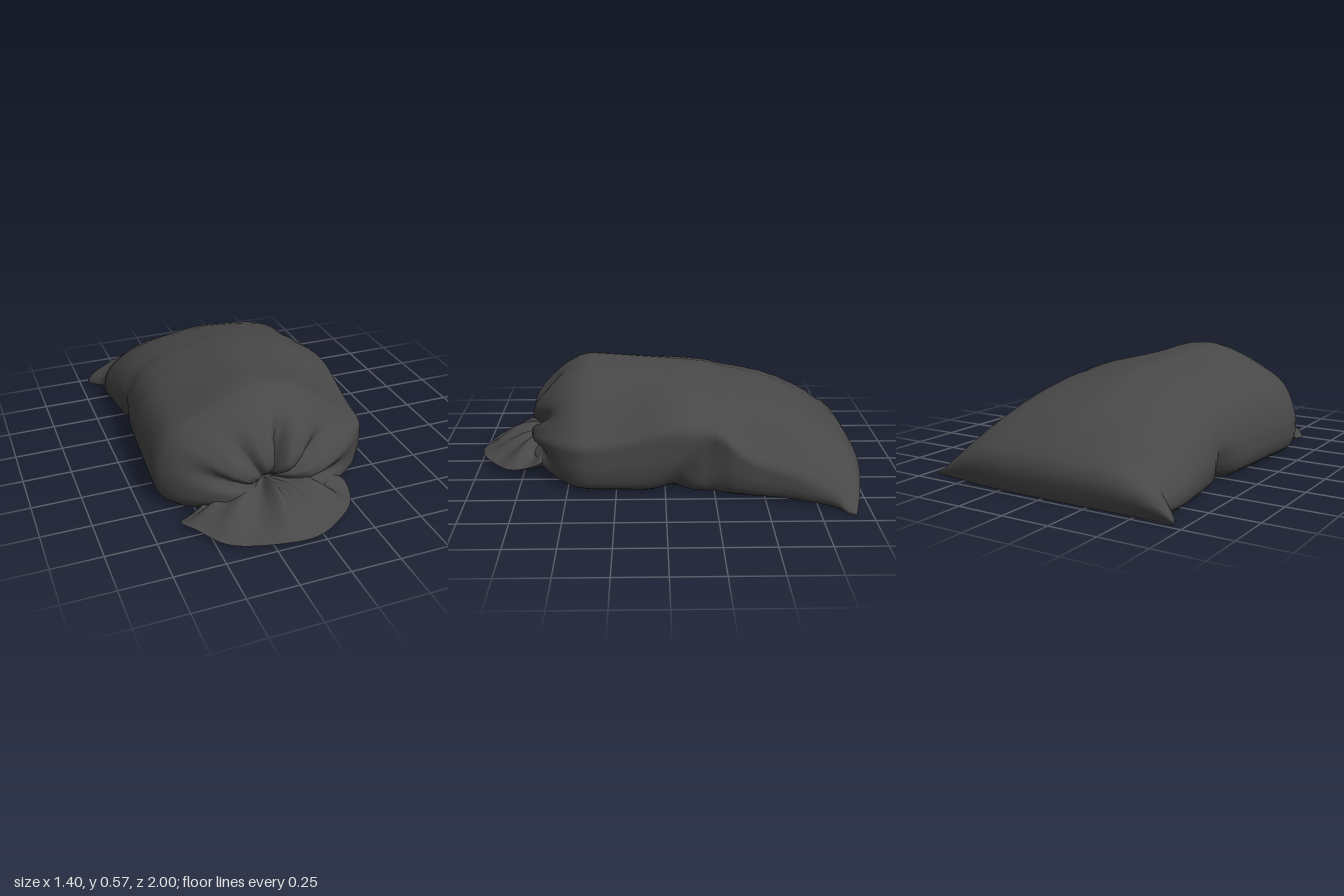
import * as THREE from 'three';

// Half-outlines of the sack: a full dome and a flat pillow edge, as (u across, v height)
const DOME = [[-.88, 0], [-.97, .08], [-1, .3], [-.87, .64], [-.61, .82], [-.14, 1], [.16, .99],
  [.54, .92], [.85, .77], [.99, .64], [1, .33], [.95, .08], [.86, 0]];
const PILLOW = [[-1, 0], [-1, .07], [-.97, .26], [-.87, .5], [-.6, .82], [-.14, 1], [.16, 1],
  [.53, .92], [.82, .6], [.94, .26], [1, .08], [1, .03], [1, 0]];

// Stations from back to front: z, left x, right x, height, pillow amount
const STATIONS = [
  [-1, -.7, .7, .15, 1], [-.965, -.69, .69, .2, 1], [-.92, -.65, .67, .245, .9],
  [-.88, -.61, .65, .275, .75], [-.82, -.632, .625, .32, .6], [-.75, -.645, .605, .36, .45],
  [-.65, -.642, .572, .412, .3], [-.55, -.635, .55, .45, .2], [-.45, -.63, .535, .475, .12],
  [-.4, -.625, .525, .487, .08], [-.35, -.612, .515, .498, .05], [-.3, -.618, .505, .508, 0],
  [-.25, -.626, .475, .519, 0], [-.2, -.63, .478, .526, 0], [-.14, -.632, .482, .531, 0],
  [-.08, -.638, .48, .536, 0], [-.03, -.642, .478, .539, 0], [.02, -.645, .474, .542, 0],
  [.07, -.648, .47, .545, 0], [.12, -.65, .466, .548, 0], [.2, -.655, .462, .553, 0],
  [.32, -.662, .457, .56, 0], [.4, -.665, .452, .564, 0],
];
// Front gather: z and scale around the neck
const GATHER = [[.46, .97], [.53, .88], [.58, .79], [.62, .7], [.66, .6], [.7, .46], [.715, .34],
  [.7, .24], [.66, .15], [.61, .08], [.57, .04]];
const NECK = new THREE.Vector3(-.15, .13, .58);

const { lerp, smoothstep, clamp } = THREE.MathUtils;
const bump = (x, c, w) => Math.exp(-(((x - c) / w) ** 2));

// Skin a grid of point rows
function loft(rows, name, material) {
  const n = rows[0].length, index = [];
  for (let j = 0; j < rows.length - 1; j++) {
    for (let i = 0; i < n - 1; i++) {
      const p = j * n + i, q = p + n;
      index.push(p, q, p + 1, p + 1, q, q + 1);
    }
  }
  const geometry = new THREE.BufferGeometry().setFromPoints(rows.flat());
  geometry.setIndex(index);
  geometry.computeVertexNormals();
  const mesh = new THREE.Mesh(geometry, material);
  mesh.name = name;
  return mesh;
}

// One cross-section over the top of the sack
function section([z, xl, xr, h, flat], count) {
  const points = DOME.map(([u, v], k) =>
    new THREE.Vector3(lerp(u, PILLOW[k][0], flat), lerp(v, PILLOW[k][1], flat), 0));
  return new THREE.CatmullRomCurve3(points, false, 'centripetal').getPoints(count).map((p) => {
    const u = clamp(p.x, -1, 1);
    // The +x shoulder slopes away at the front and behind the side fold; the -x one is fuller
    const slope = 1 - .3 * smoothstep(u, .15, 1) * smoothstep(z, -.1, .4)
      - .25 * smoothstep(u, .6, 1) * smoothstep(-z, .22, .45)
      + .06 * smoothstep(-u, .2, .7) * smoothstep(-z, -.35, .1);
    const y = Math.max(0, p.y * h * slope);
    let x = lerp(xl, xr, (u + 1) / 2);
    // Side folds, deepest near the ground
    if (u > .5) x -= .08 * Math.max(0, 1 - y / .32) * bump(z, -.04 - .75 * y, .08);
    if (u < -.5) x += .08 * Math.max(0, 1 - y / .2) * bump(z, -.32 - .15 * y, .08);
    // The +x rear corner sits further forward
    const back = smoothstep(-z, .8, 1);
    return new THREE.Vector3(x, y, z + back * (.08 * Math.max(0, u) ** 3 + .02 * Math.max(0, -u) ** 3));
  });
}

// Shrink the last full section toward the neck, with radial pleats
function gathered(full, [z, s]) {
  const pleatWeight = smoothstep(1 - s, .12, .6);
  return full.map((p) => {
    const a = Math.atan2(p.y - NECK.y, p.x - NECK.x);
    const groove = Math.pow(.5 + .5 * Math.cos(a * 9 + .8 * Math.sin(2 * a)), 3)
      + 1.3 * bump(a, 1.35, .09) + .5 * bump(a, .6, .1);
    const k = s * (1 - .13 * pleatWeight * groove);
    return new THREE.Vector3(
      NECK.x + (p.x - NECK.x) * k,
      NECK.y + (p.y - NECK.y) * k,
      z - .045 * pleatWeight * groove * Math.min(1, s * 3));
  });
}

// Flat underside row between the lower edges, with a curved fold joining the side folds
function underside(row) {
  const left = row[0], right = row[row.length - 1];
  return Array.from({ length: 25 }, (_, i) => {
    const p = right.clone().lerp(left, i / 24), u = 1 - i / 12;
    p.y += .035 * (1 - u ** 6) * bump(p.z, .06 - .12 * u * u + .1 * u, .06);
    return p;
  });
}

// Loose ruffle beyond the tie: upper and lower sheets sharing a rim
function ruffleRows(upper) {
  const rim = new THREE.CatmullRomCurve3([[-.5, .02, .61], [-.605, .02, .65], [-.56, .03, .75], [-.45, .02, .9],
    [-.2, .025, .99], [-.05, .03, 1], [.1, .03, .92], [.22, .04, .8], [.235, .08, .66], [.12, .1, .62]]
    .map((p) => new THREE.Vector3(...p)), false, 'centripetal').getPoints(72);
  const rows = [];
  for (let j = 0; j <= 8; j++) {
    const t = j / 8;
    rows.push(rim.map((r, i) => {
      const a = i / 72, middle = Math.sin(a * Math.PI);
      const x = lerp(NECK.x + (a - .5) * .1, r.x, t), z = lerp(NECK.z, r.z, t);
      const wave = Math.sin(a * 44) * .6 + Math.sin(a * 27 + 1) * .5;
      const ripple = wave * Math.sin(Math.PI * t);
      if (!upper) {
        const y = lerp(lerp(.09, .012, Math.min(1, t * 2.5)), r.y, t ** 4);
        return new THREE.Vector3(x, Math.max(.003, y + .008 * ripple), z);
      }
      const swell = .06 * Math.sin(Math.PI * Math.min(1, t * 1.1)) * (.35 + .65 * middle);
      return new THREE.Vector3(x, Math.max(.006, lerp(.125, r.y, t) + swell + .028 * ripple), z);
    }));
  }
  return rows;
}

export function createModel() {
  const cloth = new THREE.MeshStandardMaterial({ color: 0x484848, side: THREE.DoubleSide });
  cloth.name = 'dark grey plastic';
  const group = new THREE.Group();
  group.name = 'tiedSack';

  // Filled body with the puckered front
  const rows = STATIONS.map((s) => section(s, 72));
  const full = rows[rows.length - 1];
  GATHER.forEach((g) => rows.push(gathered(full, g)));

  // Rear hem rolling under to the ground
  const [hem, roll] = [[0, .03], [.5, .006]].map(([height, inset]) => rows[0].map((p) =>
    new THREE.Vector3(p.x, p.y * height, p.z + inset * Math.min(1, p.y / .1))));
  group.add(loft([hem, roll, ...rows], 'sackBody', cloth));

  // Underside, closed against the rear hem
  const hemEdge = hem.filter((_, i) => i % 3 === 0).reverse();
  group.add(loft([hemEdge, ...rows.map(underside)], 'sackBase', cloth));

  // Ruffle in front of the neck
  group.add(loft(ruffleRows(true), 'ruffleTop', cloth));
  group.add(loft(ruffleRows(false), 'ruffleUnderside', cloth));
  return group;
}
